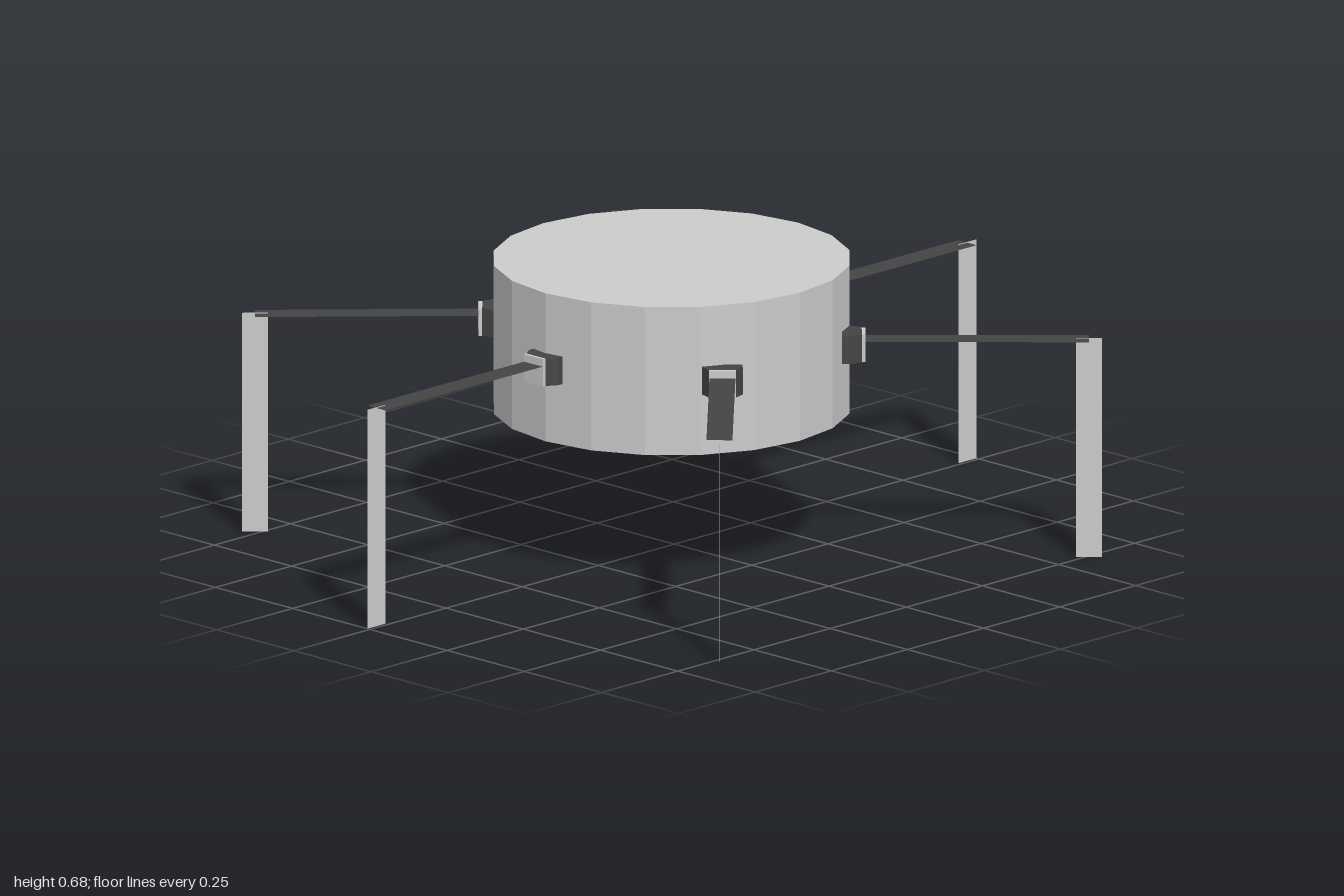
import * as THREE from 'three';

const grey = new THREE.MeshStandardMaterial({ color: 0xcccccc, flatShading: true });
const greyThin = new THREE.MeshStandardMaterial({ color: 0xcccccc, side: THREE.DoubleSide });
const dark = new THREE.MeshStandardMaterial({ color: 0x444444, flatShading: true });
const darkThin = new THREE.MeshStandardMaterial({ color: 0x444444, side: THREE.DoubleSide });

const ARM_Y = 0.523, ARM_LENGTH = 0.515, STRIP = 0.06;
const SOCKET_Y = 0.508, SOCKET_HEIGHT = 0.066;

function add(parent, name, geometry, material, x = 0, y = 0, z = 0) {
  const mesh = new THREE.Mesh(geometry, material);
  mesh.name = name;
  mesh.position.set(x, y, z);
  parent.add(mesh);
  return mesh;
}

// Socket tapering outwards in plan, its outer end at z = 0
function socketGeometry() {
  const plan = new THREE.Shape([
    new THREE.Vector2(-0.047, 0.055),
    new THREE.Vector2(-0.047, 0.035),
    new THREE.Vector2(-0.031, 0.008),
    new THREE.Vector2(0.031, 0.008),
    new THREE.Vector2(0.047, 0.035),
    new THREE.Vector2(0.047, 0.055),
  ]);
  const geometry = new THREE.ExtrudeGeometry(plan, { depth: SOCKET_HEIGHT, bevelEnabled: false });
  return geometry.rotateX(-Math.PI / 2).translate(0, -SOCKET_HEIGHT / 2, 0);
}

// One leg assembly, reaching outwards along its own +z
function createLeg(name, x, z, degrees) {
  const leg = new THREE.Group();
  leg.name = name;
  leg.position.set(x, 0, z);

  add(leg, 'socket', socketGeometry(), dark, 0, SOCKET_Y, 0);
  add(leg, 'socketPlate', new THREE.BoxGeometry(0.062, SOCKET_HEIGHT, 0.01), grey, 0, SOCKET_Y, -0.005);

  const arm = new THREE.Group();
  arm.name = 'arm';
  arm.rotation.y = THREE.MathUtils.degToRad(degrees);
  leg.add(arm);
  // Flat horizontal strip, then a flat upright strip under its tip
  const flat = new THREE.PlaneGeometry(STRIP, ARM_LENGTH).rotateX(-Math.PI / 2);
  add(arm, 'upperLeg', flat, darkThin, 0, ARM_Y, ARM_LENGTH / 2);
  const upright = new THREE.PlaneGeometry(STRIP, 0.525).rotateY(Math.PI / 2);
  add(arm, 'lowerLeg', upright, greyThin, 0, 0.2625, ARM_LENGTH);
  return leg;
}

export function createModel() {
  const model = new THREE.Group();
  model.name = 'sixLeggedWalker';

  // Drum body with 20 flat sides
  add(model, 'body', new THREE.CylinderGeometry(0.415, 0.415, 0.355, 20), grey, -0.009, 0.507, 0);

  // Name, socket position, socket heading and slight arm swing in degrees
  const legs = [
    ['frontLeg', 0, 0.455, 0, 0],
    ['frontLeftLeg', 0.395, 0.235, 45, -1.2],
    ['backLeftLeg', 0.395, -0.235, 135, -0.6],
    ['backLeg', 0, -0.455, 180, 0],
    ['backRightLeg', -0.395, -0.235, 225, -1.2],
    ['frontRightLeg', -0.395, 0.235, 315, 0.8],
  ];
  for (const [name, x, z, heading, swing] of legs) {
    const leg = createLeg(name, x - 0.008, z, swing);
    leg.rotation.y = THREE.MathUtils.degToRad(heading);
    model.add(leg);
  }
  return model;
}
